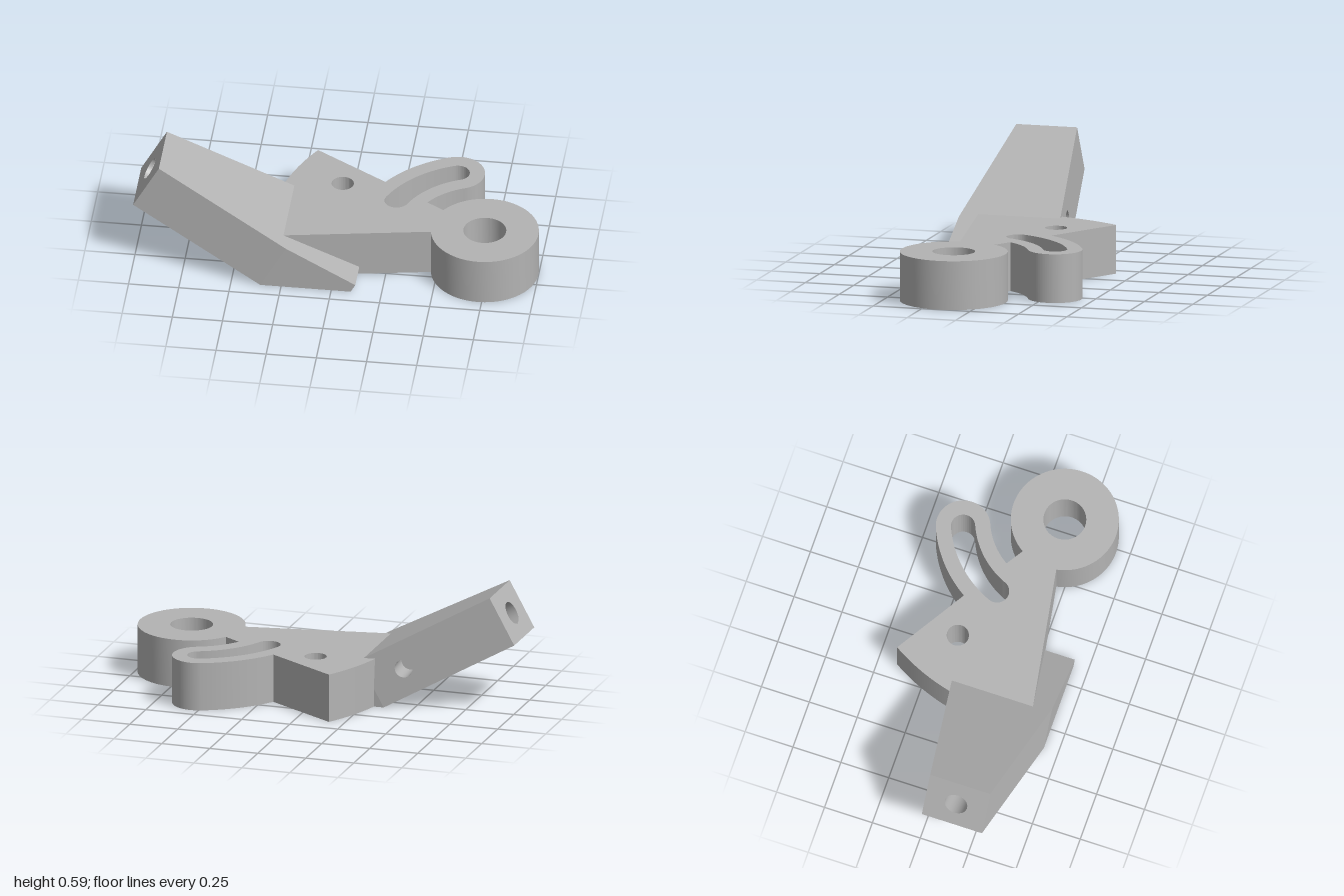
import * as THREE from 'three';
import { mergeGeometries, toCreasedNormals } from 'three/addons/utils/BufferGeometryUtils.js';

const grey = new THREE.MeshStandardMaterial({ color: 0xb3b3b3, side: THREE.DoubleSide });
grey.name = 'plain grey';

const V = (x, y, z) => new THREE.Vector3(x, y, z);

// Flat plate with the pivot ring, curved slot and round hole; drawn in polar form about the pivot
function plateGeometry() {
  const cx = 0.732, cy = -0.164;            // pivot, as x and -z
  const back = 2.575, front = Math.PI + 0.17; // radial edges of the plate
  const a1 = 1.968, a0 = 2.744, mid = 0.504;  // slot ends and its centre radius
  const at = (r, a) => [cx + r * Math.cos(a), cy + r * Math.sin(a)];

  const shape = new THREE.Shape();
  shape.absarc(cx, cy, 0.267, front - 2 * Math.PI, back, false);   // ring
  shape.absarc(cx, cy, mid - 0.135, back, a1, true);               // inside of slot arm
  shape.absarc(...at(mid, a1), 0.135, a1 + Math.PI, a1 + 2 * Math.PI, false);
  shape.absarc(cx, cy, mid + 0.135, a1, back, false);              // outside of slot arm
  shape.absarc(cx, cy, 1.067, back + 0.006, front, false);         // far edge
  shape.closePath();

  const slot = new THREE.Path();
  slot.absarc(cx, cy, mid + 0.06, a1, a0, false);
  slot.absarc(...at(mid, a0), 0.06, a0, a0 + Math.PI, false);
  slot.absarc(cx, cy, mid - 0.06, a0, a1, true);
  slot.absarc(...at(mid, a1), 0.06, a1 + Math.PI, a1 + 2 * Math.PI, false);
  const pivotHole = new THREE.Path().absarc(cx, cy, 0.106, 0, 2 * Math.PI, true);
  const pinHole = new THREE.Path().absarc(-0.015, 0.14, 0.055, 0, 2 * Math.PI, true);
  shape.holes.push(slot, pivotHole, pinHole);

  const geo = new THREE.ExtrudeGeometry(shape, { depth: 0.245, bevelEnabled: false, curveSegments: 40 });
  geo.rotateX(-Math.PI / 2);
  return toCreasedNormals(geo, 0.5);
}

// Flat panel through convex corners (counter-clockwise from outside), with an optional round hole
function panel(corners, hole) {
  const p0 = corners[0];
  const u = corners[1].clone().sub(p0).normalize();
  const n = u.clone().cross(corners[2].clone().sub(p0)).normalize();
  const v = n.clone().cross(u);
  const flat = (p) => {
    const d = p.clone().sub(p0);
    return new THREE.Vector2(d.dot(u), d.dot(v));
  };
  const shape = new THREE.Shape(corners.map(flat));
  if (hole) {
    const c = flat(hole.center);
    shape.holes.push(new THREE.Path().absarc(c.x, c.y, hole.r, 0, 2 * Math.PI, true));
  }
  const geo = new THREE.ShapeGeometry(shape, 32);
  return geo.applyMatrix4(new THREE.Matrix4().makeBasis(u, v, n).setPosition(p0));
}

// Blind round bore: wall and floor, running from its mouth along a direction
function bore(mouth, dir, r, length) {
  const profile = [[0, length], [r, length], [r, length], [r, 0]].map((p) => new THREE.Vector2(...p));
  const geo = new THREE.LatheGeometry([profile[0], profile[1]], 32);
  const wall = new THREE.LatheGeometry([profile[2], profile[3]], 32);
  const turn = new THREE.Quaternion().setFromUnitVectors(V(0, 1, 0), dir);
  return mergeGeometries([geo, wall]).applyQuaternion(turn).translate(mouth.x, mouth.y, mouth.z);
}

export function createModel() {
  const group = new THREE.Group();
  const add = (name, geo) => {
    const mesh = new THREE.Mesh(geo, grey);
    mesh.name = name;
    group.add(mesh);
  };
  add('pivotPlate', plateGeometry());

  // Side profile of the sloping arm: [x, y, half width]
  const zc = 0.165;
  const A = [-1, 0.355, 0.157], B = [-0.872, 0.587, 0.157];
  const E = [-0.354, 0, 0.26], M = [-0.226, 0.232, 0.26];
  const C = [0.12, 0.042, 0.26], D = [0.097, 0, 0.26];
  const f = (p) => V(p[0], p[1], zc + p[2]);
  const b = (p) => V(p[0], p[1], zc - p[2]);
  const strip = (p, q) => panel([f(p), f(q), b(q), b(p)]);

  const axis = V(E[0] - A[0], E[1] - A[1], 0).normalize();
  const endCenter = V((A[0] + B[0]) / 2, (A[1] + B[1]) / 2, zc);
  const along = 0.555;
  const sideCenter = endCenter.clone().addScaledVector(axis, along);
  sideCenter.z = zc - (0.157 + (0.103 * along) / 0.737);

  add('arm', mergeGeometries([
    panel([f(A), f(E), f(M), f(B)]),
    panel([f(E), f(D), f(C), f(M)]),
    panel([b(B), b(M), b(E), b(A)], { center: sideCenter, r: 0.045 }),
    panel([b(M), b(C), b(D), b(E)]),
    strip(M, B), strip(C, M), strip(D, C), strip(E, D), strip(A, E),
    panel([f(B), b(B), b(A), f(A)], { center: endCenter, r: 0.058 }),
  ]));

  // Bores inside the arm, square to the faces they open on
  add('endBore', bore(endCenter, axis, 0.058, 0.6));
  const taper = 0.103 / 0.737;
  const inward = V(axis.x * taper, axis.y * taper, 1).normalize();
  add('sideBore', bore(sideCenter, inward, 0.045, 0.17));

  return group;
}
